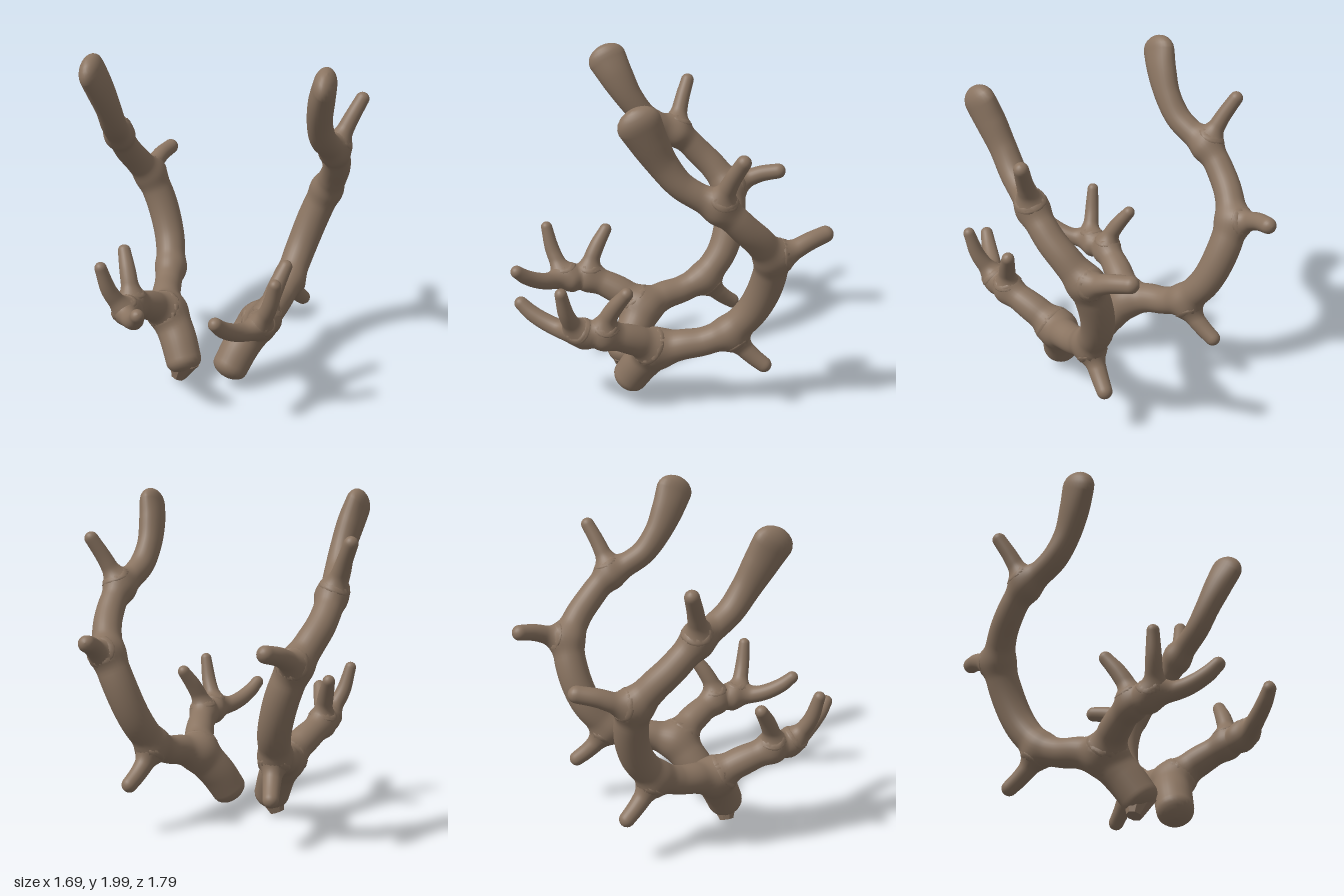
import * as THREE from 'three';

const material = new THREE.MeshStandardMaterial({ color: 0x8a7461, roughness: 0.9 });
const SIDES = 28, STEPS = 10, CAP = 6, FILLET = 0.075;

// Sweeps a round section along points [x, y, z, radius, x-flattening], with domed ends.
// Also keeps spheres along the path, which tell how far a point is from the branch.
function branch(name, side, points, startDome = 0.5, endDome = 1) {
  const path = new THREE.CatmullRomCurve3(points.map(p => new THREE.Vector3(side * p[0], p[1], p[2])));
  const size = new THREE.CatmullRomCurve3(
    points.map(p => new THREE.Vector3(p[3], p[4] ?? 1, 0)), false, 'catmullrom', 0.4);
  const n = (points.length - 1) * STEPS;

  // Ring list: path parameter, radius scale, shift along the path
  const rings = [], spheres = [];
  for (let i = 0; i < CAP; i++) {
    const a = (i / CAP) * Math.PI / 2;
    rings.push([0, Math.max(Math.sin(a), 0.001), -Math.cos(a) * startDome]);
  }
  for (let i = 0; i <= n; i++) {
    rings.push([i / n, 1, 0]);
    spheres.push({ centre: path.getPoint(i / n), radius: size.getPoint(i / n).x });
  }
  for (let i = 1; i <= CAP; i++) {
    const a = (i / CAP) * Math.PI / 2;
    rings.push([1, Math.max(Math.cos(a), 0.001), Math.sin(a) * endDome]);
  }

  const positions = [], index = [];
  const normal = new THREE.Vector3(0.9, 0.1, 0.3);
  const binormal = new THREE.Vector3();
  rings.forEach(([t, scale, shift], row) => {
    const tangent = path.getTangent(t);
    const s = size.getPoint(t);
    normal.addScaledVector(tangent, -normal.dot(tangent)).normalize();
    binormal.crossVectors(tangent, normal);
    const centre = path.getPoint(t).addScaledVector(tangent, shift * s.x);
    for (let j = 0; j < SIDES; j++) {
      const a = (j / SIDES) * Math.PI * 2;
      const off = normal.clone().multiplyScalar(Math.cos(a))
        .addScaledVector(binormal, Math.sin(a)).multiplyScalar(s.x * scale);
      positions.push(centre.x + off.x * s.y, centre.y + off.y, centre.z + off.z);
      if (row === 0) continue;
      const k = (j + 1) % SIDES, r0 = (row - 1) * SIDES, r1 = row * SIDES;
      index.push(r0 + j, r0 + k, r1 + j, r0 + k, r1 + k, r1 + j);
    }
  });
  const geometry = new THREE.BufferGeometry();
  geometry.setAttribute('position', new THREE.Float32BufferAttribute(positions, 3));
  geometry.setIndex(index);
  geometry.computeVertexNormals();
  const mesh = new THREE.Mesh(geometry, material);
  mesh.name = name;
  return { mesh, spheres };
}

// Swells a branch where it meets the others, so the joints flow together.
function blend(part, others) {
  const { position, normal } = part.mesh.geometry.attributes;
  const p = new THREE.Vector3(), nrm = new THREE.Vector3();
  for (let i = 0; i < position.count; i++) {
    p.fromBufferAttribute(position, i);
    nrm.fromBufferAttribute(normal, i);
    let swell = 0;
    for (const other of others) {
      let d = Infinity;
      for (const s of other.spheres) d = Math.min(d, p.distanceTo(s.centre) - s.radius);
      swell = Math.max(swell, Math.max(FILLET - Math.abs(d), 0) ** 2 / (2 * FILLET));
    }
    p.addScaledVector(nrm, swell);
    position.setXYZ(i, p.x, p.y, p.z);
  }
  part.mesh.geometry.computeVertexNormals();
}

function antler(side) {
  const group = new THREE.Group();
  group.name = side > 0 ? 'leftAntler' : 'rightAntler';
  const parts = [];
  const add = (name, points, ...domes) => parts.push(branch(name, side, points, ...domes));

  // Main beam: sweeps back, up and forward again to a flattened paddle
  add('mainBeam', [
    [0.145, 0.13, 0.215, 0.108], [0.2, 0.25, 0.15, 0.112], [0.275, 0.36, 0.07, 0.112],
    [0.335, 0.415, -0.06, 0.092], [0.365, 0.445, -0.2, 0.085], [0.39, 0.515, -0.34, 0.09],
    [0.43, 0.66, -0.465, 0.095], [0.5, 0.87, -0.53, 0.098], [0.57, 1.04, -0.525, 0.095],
    [0.625, 1.16, -0.45, 0.086], [0.66, 1.26, -0.355, 0.083], [0.67, 1.37, -0.245, 0.08],
    [0.65, 1.45, -0.12, 0.075], [0.63, 1.53, 0, 0.076], [0.625, 1.65, 0.095, 0.085, 0.85],
    [0.645, 1.79, 0.175, 0.105, 0.7], [0.67, 1.895, 0.228, 0.12, 0.54],
  ], 0.65, 0.75);

  // Forward branch and the two tines standing on it
  add('browBranch', [
    [0.285, 0.38, 0.07, 0.08], [0.34, 0.465, 0.2, 0.09], [0.385, 0.53, 0.34, 0.08],
    [0.4, 0.56, 0.46, 0.068], [0.37, 0.565, 0.58, 0.057], [0.3, 0.595, 0.7, 0.051],
    [0.25, 0.65, 0.8, 0.046], [0.22, 0.705, 0.86, 0.039],
  ]);
  add('frontTine', [
    [0.39, 0.56, 0.51, 0.05], [0.42, 0.63, 0.575, 0.05],
    [0.465, 0.73, 0.62, 0.045], [0.5, 0.875, 0.65, 0.035],
  ]);
  add('middleTine', [
    [0.4, 0.55, 0.4, 0.052], [0.415, 0.64, 0.39, 0.052],
    [0.445, 0.74, 0.345, 0.048], [0.485, 0.84, 0.28, 0.038],
  ]);

  // Tines along the main beam
  add('lowerRearTine', [
    [0.385, 0.5, -0.34, 0.06], [0.4, 0.41, -0.415, 0.056],
    [0.42, 0.345, -0.48, 0.05], [0.44, 0.297, -0.54, 0.046],
  ]);
  add('rearTine', [
    [0.575, 1.05, -0.53, 0.062], [0.585, 1.08, -0.63, 0.058],
    [0.565, 1.125, -0.74, 0.052], [0.53, 1.15, -0.845, 0.048],
  ]);
  add('upperTine', [
    [0.665, 1.4, -0.21, 0.056], [0.705, 1.49, -0.225, 0.053],
    [0.75, 1.59, -0.255, 0.046], [0.805, 1.7, -0.3, 0.041],
  ]);

  for (const part of parts) {
    blend(part, parts.filter(other => other !== part));
    group.add(part.mesh);
  }
  return group;
}

export function createModel() {
  const model = new THREE.Group();
  model.name = 'antlers';
  const right = antler(-1);
  model.add(antler(1), right);

  // Broken faceted end under the right antler
  const brokenMaterial = material.clone();
  brokenMaterial.flatShading = true;
  const stump = new THREE.Mesh(new THREE.CylinderGeometry(0.095, 0.045, 0.13, 8), brokenMaterial);
  stump.name = 'brokenBase';
  stump.position.set(-0.163, 0.078, 0.21);
  stump.rotation.z = -0.35;
  right.add(stump);
  return model;
}
